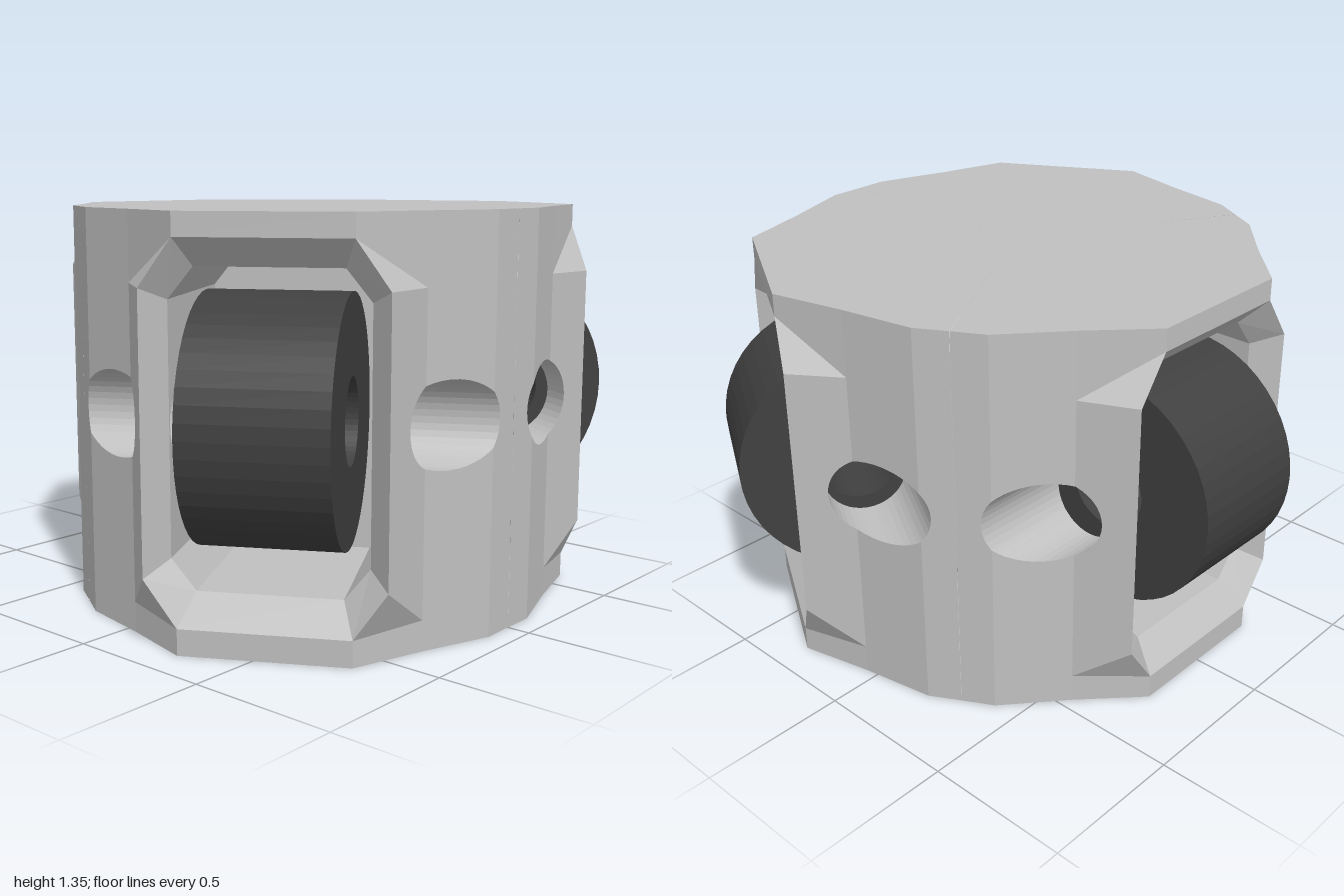
import * as THREE from 'three';

const H = 1.345, AXLE_Y = 0.7, AXLE_R = 0.62, HOLE = 0.14, CENTRE_Z = 0.1;
const FACE = 0.86, INNER = 0.77, BACK = 0.2, WALL = 0.31;

// Half outline of one 120 degree sector, from the window corner to the seam: [x, z]
const outline = [[0.27, FACE], [0.459, 0.68], [0.654, 0.511], [0.711, 0.411]];
const ear = [0.375, FACE];

// Outer wall x for a given z, with the window post bulging to the ear
function wallX(z) {
  const p = [ear, ...outline.slice(1)];
  for (let i = 0; i < 3; i++) {
    if (z >= p[i + 1][1] - 1e-6) {
      const t = (z - p[i + 1][1]) / (p[i][1] - p[i + 1][1]);
      return p[i + 1][0] + t * (p[i][0] - p[i + 1][0]);
    }
  }
  return p[3][0];
}
const holeH = z => Math.sqrt(Math.max(0, HOLE ** 2 - (z - AXLE_R) ** 2));

// Collects flat faces, each turned towards a given direction
function faceSet() {
  const pos = [];
  const add = (pts, out) => {
    const v = pts.map(p => new THREE.Vector3(...p));
    const dir = new THREE.Vector3(...out);
    for (let i = 1; i < v.length - 1; i++) {
      const [a, b, c] = [v[0], v[i], v[i + 1]];
      const n = b.clone().sub(a).cross(c.clone().sub(a));
      if (n.lengthSq() < 1e-14) continue;
      const order = n.dot(dir) < 0 ? [a, c, b] : [a, b, c];
      order.forEach(p => pos.push(p.x, p.y, p.z));
    }
  };
  const mesh = (name, mat) => {
    const g = new THREE.BufferGeometry();
    g.setAttribute('position', new THREE.Float32BufferAttribute(pos, 3));
    g.computeVertexNormals();
    const m = new THREE.Mesh(g, mat);
    m.name = name;
    return m;
  };
  return { add, mesh };
}

// Depth stations that follow the axle hole and the outline corners
const stations = [];
for (let k = 0; k <= 20; k++) stations.push(AXLE_R - HOLE * Math.cos(k * Math.PI / 20));
const outerZ = [...stations, 0.411, 0.511, 0.68, FACE].sort((a, b) => a - b);
const innerZ = [...stations, BACK, INNER, 0.511, 0.68].sort((a, b) => a - b);

function buildOuterWall(mat) {
  const f = faceSet();
  for (const s of [-1, 1]) {
    const out = [s, 0, 0.5];
    for (let i = 0; i < outerZ.length - 1; i++) {
      const a = outerZ[i], b = outerZ[i + 1];
      const post = (a + b) / 2 > 0.68;
      const top = post ? 1.12 : H;
      const low = z => post ? 0.1 + 0.135 * (z - 0.68) / 0.18 : 0;
      const P = (z, y) => [s * wallX(z), y, z];
      f.add([P(a, AXLE_Y + holeH(a)), P(b, AXLE_Y + holeH(b)), P(b, top), P(a, top)], out);
      f.add([P(a, low(a)), P(b, low(b)), P(b, AXLE_Y - holeH(b)), P(a, AXLE_Y - holeH(a))], out);
    }
    // Corners above and below the post, with their sloping triangles
    const C = y => [s * 0.27, y, FACE], V = y => [s * 0.459, y, 0.68], E = y => [s * ear[0], y, FACE];
    f.add([V(1.12), V(H), C(H), C(1.27)], out);
    f.add([C(1.27), V(1.12), E(1.12)], [s, 1, 1]);
    f.add([V(0), V(0.1), C(0.085), C(0)], out);
    f.add([C(0.085), V(0.1), E(0.235)], [s, -1, 1]);
  }
  // Rims over and under the window
  for (const [lo, hi] of [[1.27, H], [0, 0.085]]) {
    f.add([[-0.27, lo, FACE], [0.27, lo, FACE], [0.27, hi, FACE], [-0.27, hi, FACE]], [0, 0, 1]);
  }
  return f.mesh('outerWall', mat);
}

function buildCaps(mat) {
  const f = faceSet();
  const ring = [...outline.map(([x, z]) => [-x, z]).reverse(), ...outline];
  for (const [y, d] of [[H, 1], [0, -1]]) {
    f.add([[0, y, 0], ...ring.map(([x, z]) => [x, y, z])], [0, d, 0]);
  }
  return f.mesh('topAndBottom', mat);
}

function buildRecess(mat) {
  const f = faceSet();
  const octagon = (w, c, y0, y1, y2, y3, z) => [
    [c, y0, z], [w, y1, z], [w, y2, z], [c, y3, z],
    [-c, y3, z], [-w, y2, z], [-w, y1, z], [-c, y0, z]];
  const mouth = octagon(0.375, 0.27, 0.085, 0.235, 1.12, 1.27, FACE);
  const neck = octagon(WALL, 0.23, 0.18, 0.28, 1.08, 1.18, INNER);
  const back = octagon(WALL, 0.23, 0.18, 0.28, 1.08, 1.18, BACK);
  const inward = p => [-p[0], AXLE_Y - p[1], 0.1];
  for (let i = 0; i < 8; i++) {
    const j = (i + 1) % 8;
    const mid = [(neck[i][0] + neck[j][0]) / 2, (neck[i][1] + neck[j][1]) / 2];
    f.add([mouth[i], mouth[j], neck[j], neck[i]], inward(mid));
    // The two upright sides are pierced by the axle, so they are made below
    if (i !== 1 && i !== 5) f.add([neck[i], neck[j], back[j], back[i]], inward(mid));
  }
  f.add(back, [0, 0, 1]);
  for (const s of [-1, 1]) {
    for (let i = 0; i < innerZ.length - 1; i++) {
      const a = innerZ[i], b = innerZ[i + 1], ha = holeH(a), hb = holeH(b);
      for (const d of [-1, 1]) {
        const end = d > 0 ? 1.08 : 0.28;
        const ya = AXLE_Y + d * ha, yb = AXLE_Y + d * hb;
        f.add([[s * WALL, ya, a], [s * WALL, yb, b], [s * WALL, end, b], [s * WALL, end, a]], [-s, 0, 0]);
        // Axle bore through to the outer wall
        if (ha + hb > 1e-5) {
          f.add([[s * WALL, ya, a], [s * WALL, yb, b], [s * wallX(b), yb, b], [s * wallX(a), ya, a]],
            [0, -d * (ha + hb) / 2, AXLE_R - (a + b) / 2]);
        }
      }
    }
  }
  return f.mesh('wheelRecess', mat);
}

// Roller with a plain bore, its axis along x
function buildWheel(mat) {
  const width = 0.455;
  const shape = new THREE.Shape().absarc(0, 0, 0.4, 0, Math.PI * 2, false);
  shape.holes.push(new THREE.Path().absarc(0, 0, HOLE, 0, Math.PI * 2, true));
  const g = new THREE.ExtrudeGeometry(shape, { depth: width, bevelEnabled: false, curveSegments: 24 });
  g.translate(0, 0, -width / 2);
  g.rotateY(Math.PI / 2);
  const m = new THREE.Mesh(g, mat);
  m.name = 'wheel';
  m.position.set(0, AXLE_Y, AXLE_R);
  return m;
}

export function createModel() {
  const bodyGrey = new THREE.MeshStandardMaterial({ color: 0xc0c0c0, side: THREE.DoubleSide });
  bodyGrey.name = 'bodyGrey';
  const wheelBlack = new THREE.MeshStandardMaterial({ color: 0x404040 });
  wheelBlack.name = 'wheelBlack';

  const model = new THREE.Group();
  model.name = 'threeWheelHub';
  ['leftSector', 'backSector', 'rightSector'].forEach((name, i) => {
    const sector = new THREE.Group();
    sector.name = name;
    sector.add(buildOuterWall(bodyGrey), buildCaps(bodyGrey), buildRecess(bodyGrey), buildWheel(wheelBlack));
    sector.rotation.y = Math.PI / 3 + i * Math.PI * 2 / 3;
    sector.position.z = CENTRE_Z;
    model.add(sector);
  });
  return model;
}
